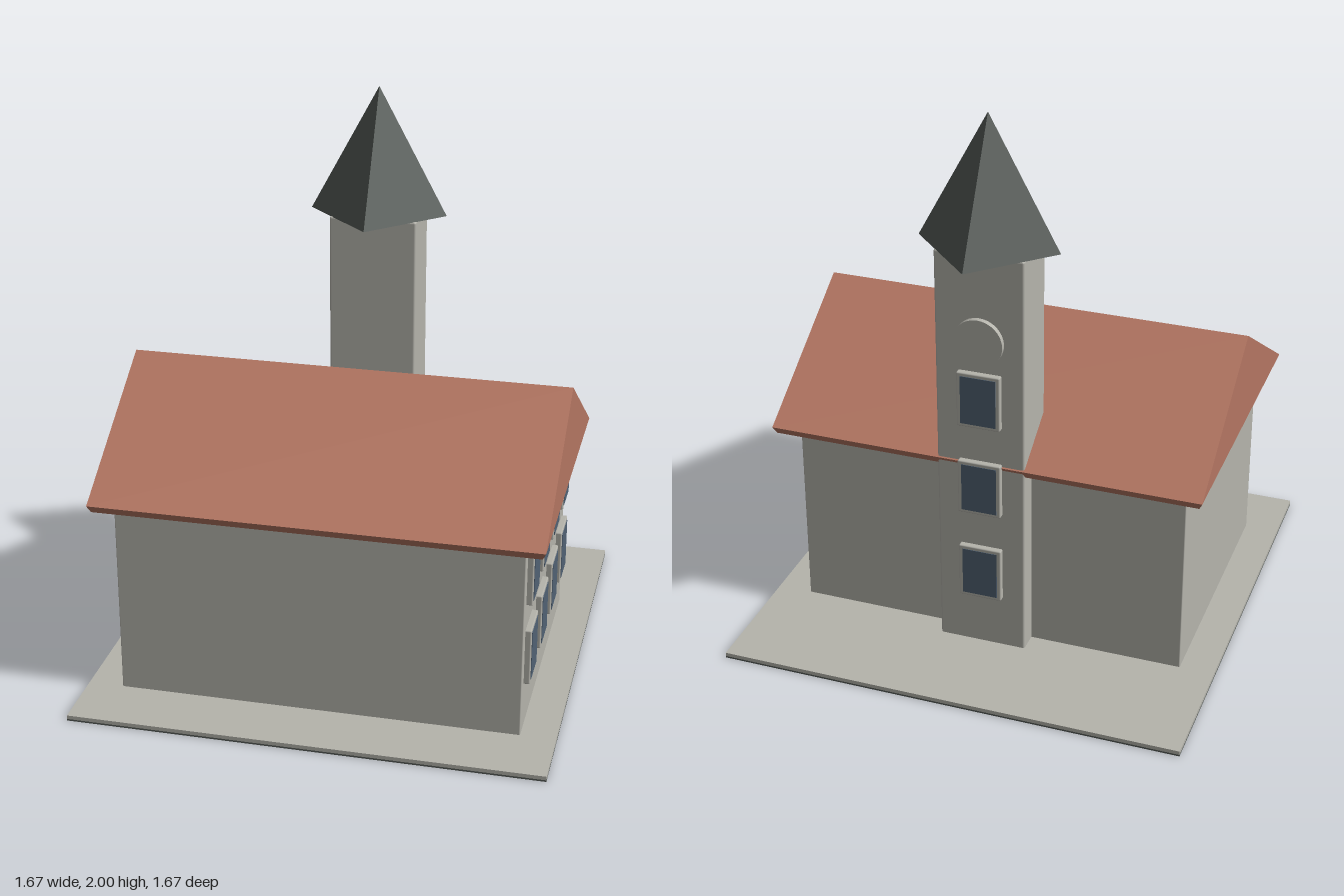
import * as THREE from 'three';
import { RoundedBoxGeometry } from 'three/addons/geometries/RoundedBoxGeometry.js';

const mat = (name, color) => {
  const m = new THREE.MeshStandardMaterial({ color });
  m.name = name;
  return m;
};

export function createModel() {
  const model = new THREE.Group();
  model.name = 'churchHall';
  const stone = mat('stone', 0xb5b4ac);
  const tile = mat('roofTile', 0xb47662);
  const slate = mat('slate', 0x555b57);
  const glass = mat('glass', 0x516274);

  const add = (name, geometry, material, parent = model) => {
    const mesh = new THREE.Mesh(geometry, material);
    mesh.name = name;
    parent.add(mesh);
    return mesh;
  };

  // Ground slab on a thin dark base
  add('groundBase', new THREE.BoxGeometry(1.672, 0.006, 1.672), slate).position.y = 0.003;
  add('groundSlab', new THREE.BoxGeometry(1.672, 0.014, 1.672), stone).position.y = 0.013;

  // Hall and tower with slightly softened edges
  add('hallWalls', new RoundedBoxGeometry(1.424, 0.73, 0.99, 1, 0.004), stone).position.set(0, 0.372, 0.11);
  add('towerWalls', new RoundedBoxGeometry(0.318, 1.53, 0.21, 1, 0.008), stone).position.set(0, 0.774, -0.355);

  // Gable roof: a triangular prism along x
  const gable = new THREE.Shape([
    new THREE.Vector2(-0.675, 0.753),
    new THREE.Vector2(0.465, 0.753),
    new THREE.Vector2(-0.105, 1.106),
  ]);
  const roof = new THREE.ExtrudeGeometry(gable, { depth: 1.57, bevelEnabled: false });
  roof.rotateY(Math.PI / 2).translate(-0.785, 0, 0);
  add('gableRoof', roof, tile);

  // Eaves: a band that narrows downwards, with a stone underside
  const eaves = new THREE.BoxGeometry(1.57, 0.026, 1.14);
  const p = eaves.attributes.position;
  for (let i = 0; i < p.count; i++) {
    if (p.getY(i) < 0) {
      p.setX(i, p.getX(i) - Math.sign(p.getX(i)) * 0.012);
      p.setZ(i, p.getZ(i) - Math.sign(p.getZ(i)) * 0.012);
    }
  }
  eaves.computeVertexNormals();
  add('roofEaves', eaves, [tile, tile, tile, stone, tile, tile]).position.set(0, 0.74, 0.105);

  // Four-sided spire, corners on the axes
  const spire = new THREE.ConeGeometry(0.25, 0.463, 4).toNonIndexed();
  spire.computeVertexNormals();
  add('spire', spire, slate).position.set(0, 1.7685, -0.357);

  // Window facing +z from its own origin: soft-edged frame and thin pane
  const frameGeometry = new RoundedBoxGeometry(0.156, 0.206, 0.03, 1, 0.005);
  const paneGeometry = new THREE.BoxGeometry(0.127, 0.18, 0.006);
  const addWindow = (name, x, y, z, turn) => {
    const group = new THREE.Group();
    group.name = name;
    add('windowFrame', frameGeometry, stone, group).position.z = 0.006;
    add('windowPane', paneGeometry, glass, group).position.z = 0.02;
    group.position.set(x, y, z);
    group.rotation.y = turn;
    model.add(group);
  };

  // Two rows of windows on the hall's left end
  for (const y of [0.298, 0.6]) {
    for (let i = 0; i < 4; i++) addWindow('hallWindow', 0.712, y, 0.484 - i * 0.25, Math.PI / 2);
  }
  // Three windows up the back of the tower
  for (let i = 0; i < 3; i++) addWindow('towerWindow', 0, 0.319 + i * 0.343, -0.46, Math.PI);

  // Round clock face above them
  const dial = new THREE.CylinderGeometry(0.088, 0.088, 0.02, 32).rotateX(Math.PI / 2);
  add('clockFace', dial, stone).position.set(0, 1.224, -0.469);

  return model;
}
